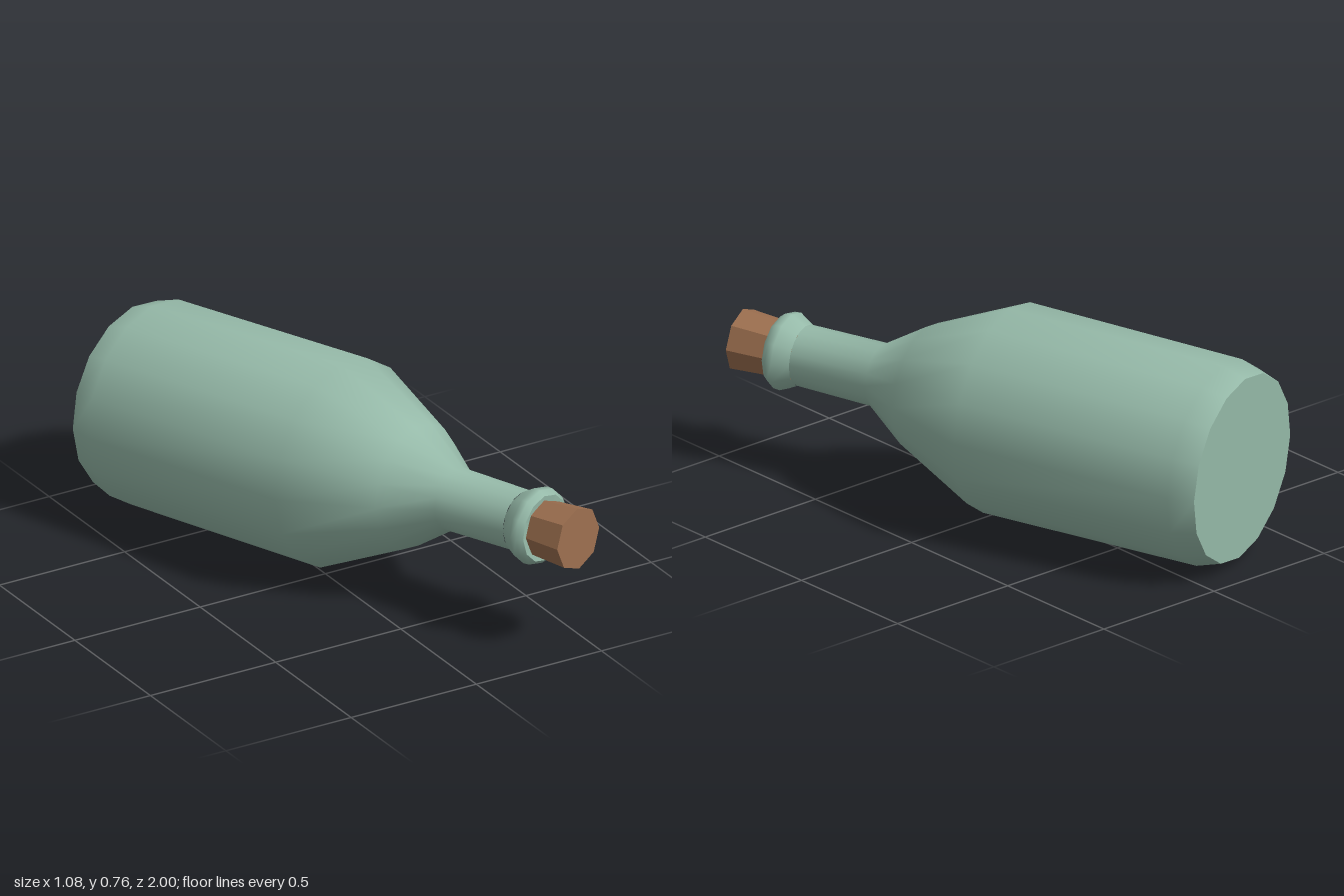
import * as THREE from 'three';

export function createModel() {
  const glass = new THREE.MeshStandardMaterial({ color: 0x96baa9 });
  glass.name = 'green glass';
  const corkMat = new THREE.MeshStandardMaterial({ color: 0x9c6f4f });
  corkMat.name = 'cork brown';

  // the bottle is turned around its own y axis, then laid down
  const bottle = new THREE.Group();
  bottle.name = 'bottle';
  const turn = (name, points, sides, material, flat) => {
    let geo = new THREE.LatheGeometry(points.map(([r, y]) => new THREE.Vector2(r, y)), sides);
    if (flat) {
      geo = geo.toNonIndexed();
      geo.computeVertexNormals();
    }
    const mesh = new THREE.Mesh(geo, material);
    mesh.name = name;
    bottle.add(mesh);
  };

  // flat base, smooth body with shoulder and neck
  turn('base', [[0, 0], [0.335, 0]], 16, glass, false);
  turn('body', [
    [0.335, 0], [0.363, 0.09], [0.37, 0.925], [0.222, 1.25], [0.112, 1.42], [0.108, 1.72],
  ], 16, glass, false);

  // flared lip with a flat rim
  turn('lip', [[0.108, 1.72], [0.138, 1.775], [0.136, 1.8], [0.12, 1.82]], 12, glass, false);
  turn('rim', [[0.12, 1.82], [0.08, 1.815]], 12, glass, true);

  // faceted stopper
  turn('cork', [[0, 1.74], [0.098, 1.74], [0.113, 1.965], [0, 1.965]], 8, corkMat, true);

  // lay the bottle down, neck forward and slightly raised
  bottle.rotation.set(Math.PI / 2 - 0.035, 0.339, 0, 'YXZ');
  bottle.position.set(-0.222, 0.36, -0.892);

  const model = new THREE.Group();
  model.name = 'corkedBottle';
  model.add(bottle);
  return model;
}
